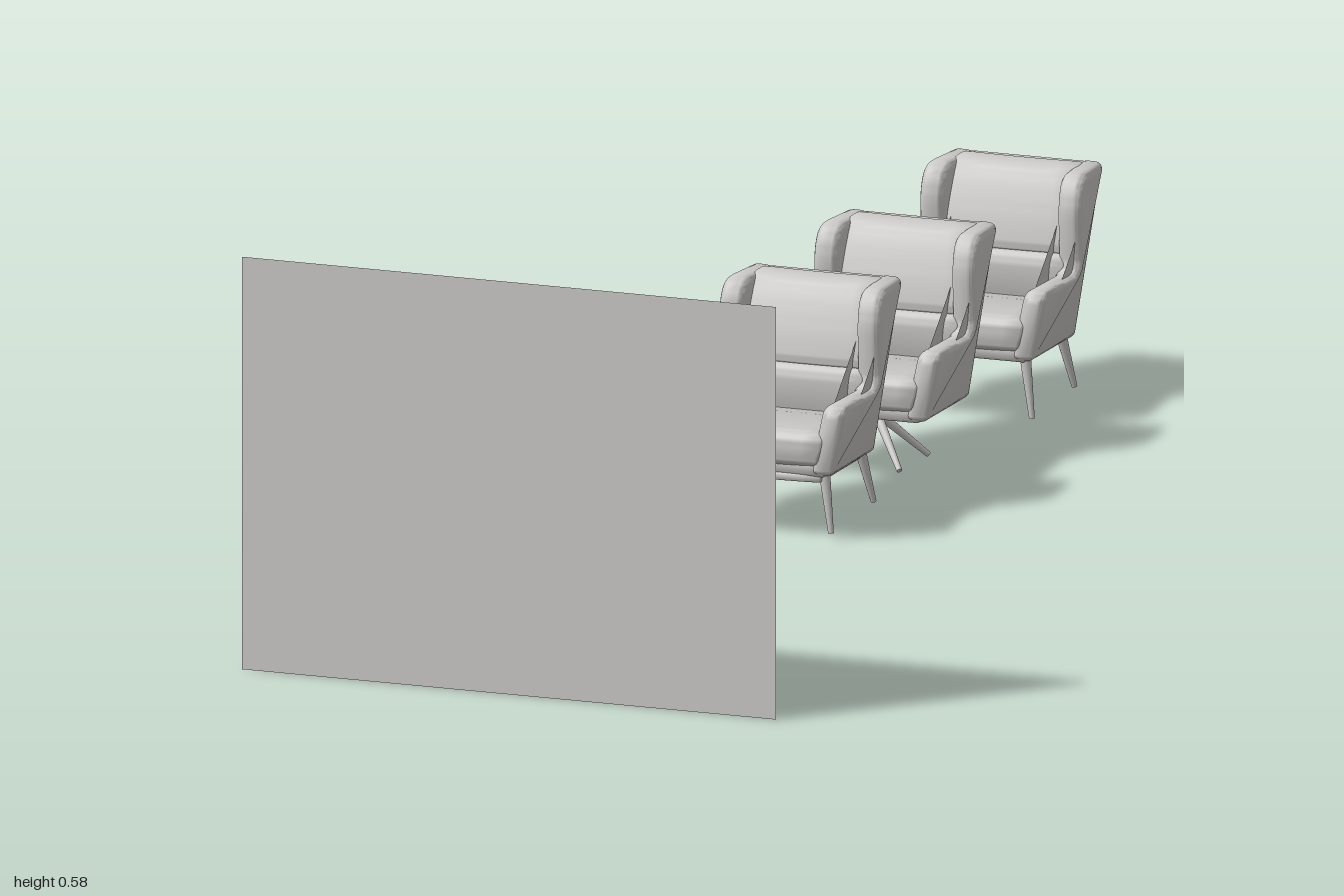
import * as THREE from 'three';
import { toCreasedNormals } from 'three/addons/utils/BufferGeometryUtils.js';

const grey = new THREE.MeshStandardMaterial({ color: 0xcccac8, side: THREE.DoubleSide });
grey.name = 'light grey';

const V = (x, y, z) => new THREE.Vector3(x, y, z);

// Outer half-width of the chair: wider to the front, drawn in below the arms
const halfWidth = (z, y) =>
  0.112 + 0.077 * (z + 0.26) - 0.022 * THREE.MathUtils.clamp((0.19 - y) / 0.105, 0, 1);

function mesh(geometry, name) {
  const m = new THREE.Mesh(geometry, grey);
  m.name = name;
  return m;
}

// Closed outline of [z, y, cornerRadius] points
function roundedShape(points) {
  const shape = new THREE.Shape();
  points.forEach(([z, y, r], i) => {
    const p = new THREE.Vector2(z, y);
    const toward = (q) => {
      const d = new THREE.Vector2(q[0], q[1]).sub(p);
      return d.setLength(Math.min(r, d.length() * 0.48)).add(p);
    };
    const a = toward(points.at(i - 1));
    const b = toward(points[(i + 1) % points.length]);
    if (i === 0) shape.moveTo(a.x, a.y);
    else shape.lineTo(a.x, a.y);
    shape.quadraticCurveTo(p.x, p.y, b.x, b.y);
  });
  shape.closePath();
  return shape;
}

// Side profile given thickness along x (centred on x = 0), then reshaped by a rule
function upholstery(name, points, thick, bevel, steps, rule) {
  const g = new THREE.ExtrudeGeometry(roundedShape(points), {
    depth: thick - 2 * bevel, steps, curveSegments: 6,
    bevelEnabled: true, bevelThickness: bevel, bevelSize: bevel, bevelOffset: -bevel, bevelSegments: 4,
  });
  g.translate(0, 0, bevel - thick / 2);
  g.rotateY(-Math.PI / 2);
  const p = g.attributes.position;
  const v = new THREE.Vector3();
  for (let i = 0; i < p.count; i++) {
    rule(v.fromBufferAttribute(p, i));
    p.setXYZ(i, v.x, v.y, v.z);
  }
  return mesh(toCreasedNormals(g, 0.75), name);
}

// Part filling the space between the sides; bow pushes its middle forward
function between(name, points, inset, bevel, bow = 0) {
  return upholstery(name, points, 0.2, bevel, 8, (v) => {
    const u = v.x / 0.1;
    v.x = u * (halfWidth(v.z, v.y) - inset);
    if (v.z > -0.03 || v.y > 0.17) v.z += bow * (1 - u * u);
  });
}

// Tapered round bar from a to b
function bar(name, a, b, ra, rb) {
  const d = b.clone().sub(a);
  const m = mesh(new THREE.CylinderGeometry(rb, ra, d.length(), 14), name);
  m.position.copy(a).addScaledVector(d, 0.5);
  m.quaternion.setFromUnitVectors(V(0, 1, 0), d.normalize());
  return m;
}

function chairBody() {
  const body = new THREE.Group();
  body.name = 'chairBody';

  // Arm and wing in one panel on each side
  const sideProfile = [
    [0, 0.092, 0.012], [0.001, 0.194, 0.02], [-0.08, 0.189, 0.03], [-0.158, 0.184, 0.02],
    [-0.153, 0.23, 0.03], [-0.15, 0.285, 0.03], [-0.168, 0.321, 0.022],
    [-0.262, 0.321, 0.008], [-0.201, 0.082, 0.008],
  ];
  for (const s of [1, -1]) {
    body.add(upholstery(s > 0 ? 'leftArmAndWing' : 'rightArmAndWing', sideProfile, 0.034, 0.011, 1, (v) => {
      v.x += s * (halfWidth(v.z, v.y) - 0.017);
    }));
  }

  // Back shell, padded back and lumbar roll
  body.add(between('backShell', [
    [-0.17, 0.085, 0.005], [-0.185, 0.2, 0.01], [-0.222, 0.319, 0.01],
    [-0.263, 0.32, 0.008], [-0.202, 0.083, 0.006],
  ], 0.012, 0.004));
  body.add(between('backCushion', [
    [-0.18, 0.205, 0.012], [-0.163, 0.208, 0.014], [-0.176, 0.26, 0.03],
    [-0.204, 0.322, 0.02], [-0.25, 0.323, 0.012], [-0.23, 0.24, 0.01],
  ], 0.022, 0.008, 0.004));
  body.add(between('lumbarCushion', [
    [-0.185, 0.135, 0.01], [-0.152, 0.135, 0.015], [-0.154, 0.208, 0.02], [-0.19, 0.21, 0.01],
  ], 0.022, 0.008, 0.004));

  // Seat
  body.add(between('seatCushion', [
    [-0.18, 0.105, 0.01], [0.001, 0.103, 0.015], [0.005, 0.155, 0.024], [-0.18, 0.145, 0.01],
  ], 0.022, 0.007, 0.004));
  body.add(between('seatBase', [
    [-0.198, 0.083, 0.004], [-0.003, 0.09, 0.006], [-0.002, 0.112, 0.006], [-0.195, 0.112, 0.004],
  ], 0.012, 0.004));

  // Stud rows down both edges of the back
  const stud = new THREE.SphereGeometry(0.0018, 6, 4);
  for (const s of [1, -1]) {
    for (let i = 0; i < 18; i++) {
      const t = i / 17;
      const y = 0.098 + 0.208 * t;
      const z = -0.2065 - 0.0535 * t;
      const m = mesh(stud, 'backStud');
      m.position.set(s * (halfWidth(z, y) - 0.019), y, z);
      body.add(m);
    }
  }
  return body;
}

// Four splayed tapered legs
function fourLegs() {
  const g = new THREE.Group();
  g.name = 'fourLegs';
  for (const s of [1, -1]) {
    g.add(bar('frontLeg', V(s * 0.094, 0.096, -0.018), V(s * 0.105, 0.01, -0.015), 0.008, 0.004));
    g.add(bar('backLeg', V(s * 0.078, 0.092, -0.186), V(s * 0.088, 0.01, -0.213), 0.008, 0.004));
  }
  return g;
}

// Four-armed star base under a short hub
function starBase() {
  const g = new THREE.Group();
  g.name = 'starBase';
  const z = -0.092;
  g.add(bar('hub', V(0, 0.058, z), V(0, 0.092, z), 0.01, 0.014));
  for (const sx of [1, -1]) {
    for (const sz of [1, -1]) {
      g.add(bar('starLeg', V(sx * 0.004, 0.074, z + sz * 0.004),
        V(sx * 0.056, 0.012, z + sz * 0.053), 0.007, 0.004));
    }
  }
  return g;
}

export function createModel() {
  const model = new THREE.Group();
  model.name = 'armchairDisplay';

  // Upright flat panel in front
  const panel = mesh(new THREE.PlaneGeometry(0.795, 0.585), 'frontPanel');
  panel.position.set(-0.0015, 0.2925, 1);
  model.add(panel);

  // Row of three armchairs on different bases
  const bases = [fourLegs(), starBase(), fourLegs()];
  // Bowed frame rail under the first chair
  bases[0].add(between('frameRail', [
    [-0.196, 0.075, 0.003], [-0.006, 0.082, 0.003], [-0.006, 0.093, 0.003], [-0.196, 0.088, 0.003],
  ], 0.016, 0.003, 0.006));
  bases.forEach((base, i) => {
    const chair = new THREE.Group();
    chair.name = ['frontArmchair', 'middleArmchair', 'rearArmchair'][i];
    chair.add(chairBody(), base);
    chair.position.set(-0.039, 0, [0, -0.348, -0.737][i]);
    model.add(chair);
  });
  return model;
}
